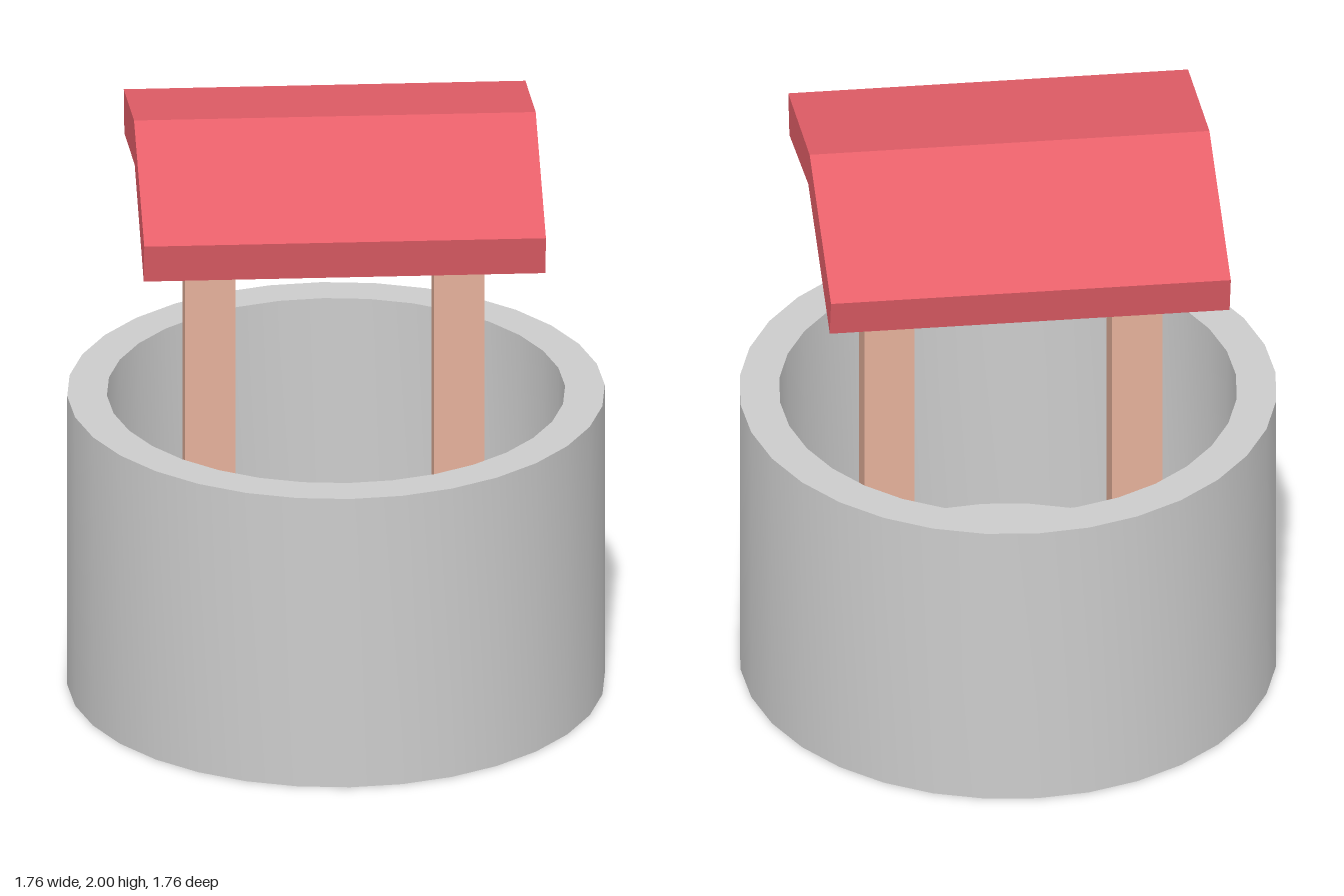
import * as THREE from 'three';
import { toCreasedNormals } from 'three/addons/utils/BufferGeometryUtils.js';

const material = (color) => new THREE.MeshStandardMaterial({ color });

function addPart(group, name, geometry, mat) {
  const mesh = new THREE.Mesh(geometry, mat);
  mesh.name = name;
  group.add(mesh);
  return mesh;
}

const toPoints = (list) => list.map(([a, b]) => new THREE.Vector2(a, b));

export function createModel() {
  const group = new THREE.Group();
  group.name = 'well';
  const stone = material(0xcccccc);
  const wood = material(0xe4b09a);
  const tiles = material(0xe8606a);

  // Hollow round wall with a closed floor
  const wall = new THREE.LatheGeometry(toPoints([
    [0, 0], [0.88, 0], [0.88, 1.03], [0.75, 1.03], [0.75, 0.1], [0, 0.1],
  ]), 32);
  addPart(group, 'stoneWall', toCreasedNormals(wall, Math.PI / 6), stone);

  // Two square posts rising from the floor into the roof
  const postTop = 1.89, postBase = 0.1;
  for (const [name, x] of [['leftPost', 0.4], ['rightPost', -0.415]]) {
    const post = new THREE.BoxGeometry(0.165, postTop - postBase, 0.165);
    addPart(group, name, post, wood).position.set(x, (postTop + postBase) / 2, -0.008);
  }

  // Gabled roof slab: side profile (z, y) extruded along x
  const roof = new THREE.ExtrudeGeometry(new THREE.Shape(toPoints([
    [0.58, 1.69], [0.615, 1.83], [-0.023, 2], [-0.663, 1.83], [-0.625, 1.69], [0.018, 1.86],
  ])), { depth: 1.315, bevelEnabled: false });
  roof.rotateY(-Math.PI / 2);
  roof.translate(0.655, 0, 0);
  addPart(group, 'roof', roof, tiles);

  return group;
}
